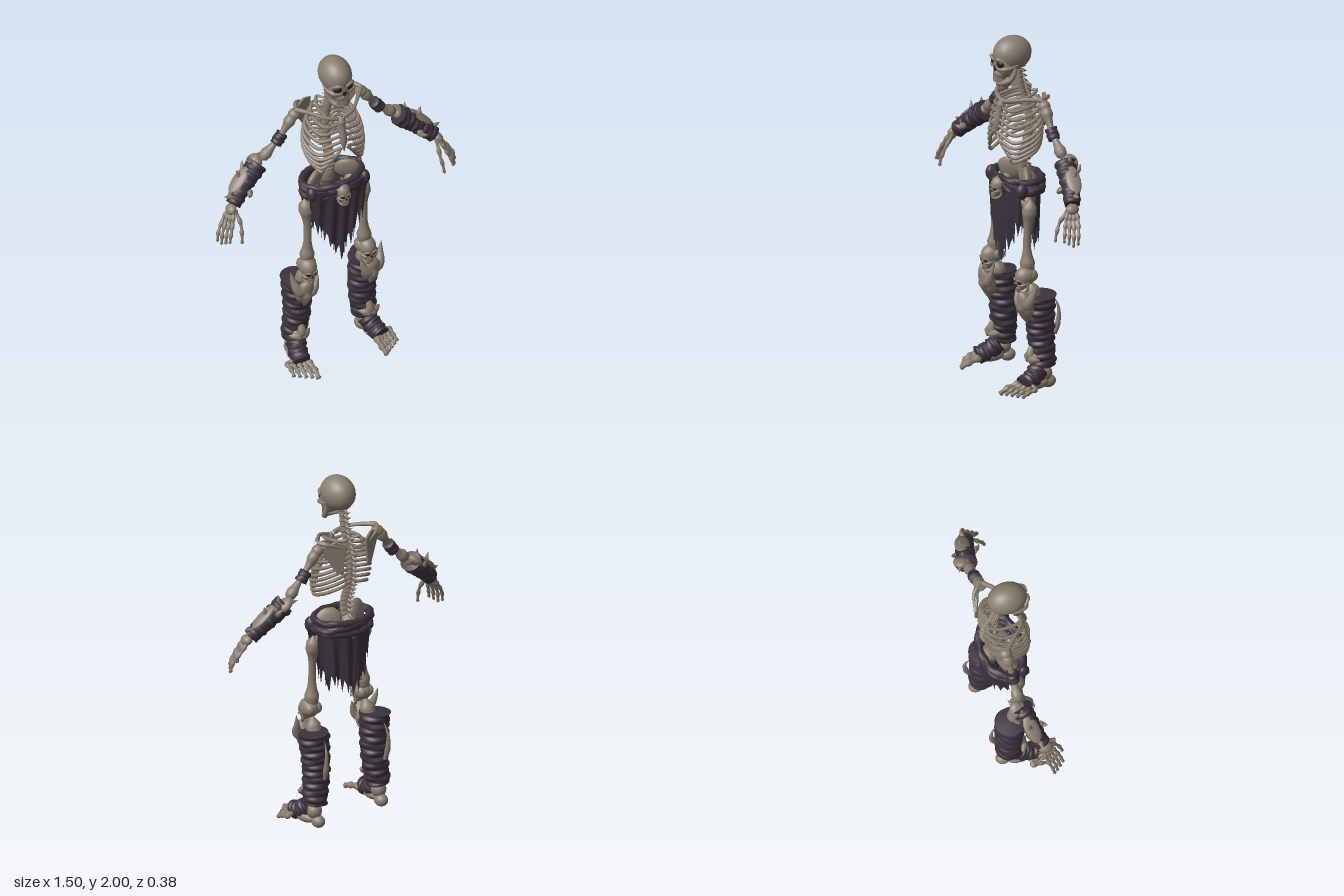
import * as THREE from 'three';
import { mergeVertices } from 'three/addons/utils/BufferGeometryUtils.js';

const mat = (name, color, side = THREE.FrontSide) => {
  const m = new THREE.MeshStandardMaterial({ color, side });
  m.name = name;
  return m;
};
const bone = mat('bone', 0x8a7e70);
const cloth = mat('dark cloth', 0x3b333c, THREE.DoubleSide);
const hollow = mat('hollow', 0x26211f);

let seed = 7;
const rand = () => (seed = (seed * 16807) % 2147483647) / 2147483647;
const V = (p) => new THREE.Vector3(...p);

function add(parent, name, geo, material, pos = [0, 0, 0], rot = [0, 0, 0], scale = [1, 1, 1]) {
  const m = new THREE.Mesh(geo, material);
  m.name = name;
  m.position.set(...pos);
  m.rotation.set(...rot);
  m.scale.set(...scale);
  parent.add(m);
  return m;
}
const blob = (parent, name, material, pos, radii, rot) =>
  add(parent, name, new THREE.SphereGeometry(1, 20, 14), material, pos, rot, radii);

// Tube along points whose radius follows a list or a function of (u, angle)
function sweep(parent, name, material, pts, radii, sides = 8, segs = 0) {
  const curve = new THREE.CatmullRomCurve3(pts.map(V));
  const list = Array.isArray(radii);
  segs = segs || (list ? (radii.length - 1) * Math.ceil(14 / (radii.length - 1)) : 30);
  const geo = new THREE.TubeGeometry(curve, segs, 1, sides);
  const p = geo.attributes.position, v = new THREE.Vector3();
  for (let i = 0; i < p.count; i++) {
    const u = Math.floor(i / (sides + 1)) / segs, c = curve.getPointAt(u);
    const f = list ? Math.min(u * (radii.length - 1), radii.length - 1.0001) : 0, k = Math.floor(f);
    const r = list ? radii[k] + (radii[k + 1] - radii[k]) * (f - k) : radii(u, (i % (sides + 1)) / sides);
    v.fromBufferAttribute(p, i).sub(c).multiplyScalar(Math.max(r, 0.0002)).add(c);
    p.setXYZ(i, v.x, v.y, v.z);
  }
  geo.deleteAttribute('uv');
  geo.deleteAttribute('normal');
  const merged = mergeVertices(geo, 1e-6);
  merged.computeVertexNormals();
  return add(parent, name, merged, material);
}
const horn = (parent, name, pts, r) => sweep(parent, name, bone, pts, [r * 0.7, r, r * 0.7, r * 0.4, 0], 7);
const LONG_BONE = [0, 1.4, 1.6, 1.1, 0.85, 0.8, 0.8, 0.85, 1.1, 1.6, 1.4, 0];
const longBone = (parent, name, pts, r) =>
  sweep(parent, name, bone, pts, LONG_BONE.map((k) => k * r), 12, 33);
// Finger or toe with swollen joints
const digit = (parent, name, pts, r, joints = 3) =>
  sweep(parent, name, bone, pts, (u) => (u === 0 || u === 1 ? 0
    : r * (1 - 0.3 * u) * (0.7 + 0.4 * Math.abs(Math.cos(joints * Math.PI * u)) ** 3)), 7, 24);
// Spiralling bandage
const bandage = (parent, name, pts, r0, r1, turns, segs = 60) =>
  sweep(parent, name, cloth, pts, (u, a) => (u === 0 || u === 1 ? 0 : (r0 + (r1 - r0) * u)
    * (0.93 + 0.09 * Math.abs(Math.sin(Math.PI * (turns * u + a)))
      + 0.05 * Math.sin(2 * Math.PI * (turns * 0.6 * u - 2 * a)))), 24, segs);

// Reflected copy across x = 0
function mirror(group, name) {
  group.updateMatrixWorld(true);
  const out = new THREE.Group();
  out.name = name;
  group.traverse((m) => {
    if (!m.isMesh) return;
    let g = m.geometry.clone().applyMatrix4(m.matrixWorld).scale(-1, 1, 1);
    if (!g.index) g = mergeVertices(g);
    const ix = g.index.array;
    for (let i = 0; i < ix.length; i += 3) [ix[i], ix[i + 1]] = [ix[i + 1], ix[i]];
    add(out, m.name, g, m.material);
  });
  return out;
}

function skull(name) {
  const s = new THREE.Group();
  s.name = name;
  blob(s, 'cranium', bone, [0, 0.032, -0.018], [0.088, 0.098, 0.112]);
  blob(s, 'face', bone, [0, -0.02, 0.035], [0.07, 0.078, 0.058]);
  blob(s, 'upperJaw', bone, [0, -0.068, 0.05], [0.043, 0.036, 0.046]);
  blob(s, 'noseHole', hollow, [0, -0.036, 0.087], [0.011, 0.02, 0.01]);
  for (const x of [-1, 1]) {
    blob(s, 'eyeSocket', hollow, [x * 0.036, -0.004, 0.076], [0.025, 0.022, 0.016], [0, x * 0.35, 0]);
    sweep(s, 'brow', bone, [[x * 0.006, 0.012, 0.096], [x * 0.035, 0.024, 0.091], [x * 0.068, 0.008, 0.062]],
      [0.006, 0.011, 0.006]);
    sweep(s, 'cheekbone', bone, [[x * 0.02, -0.036, 0.088], [x * 0.058, -0.032, 0.07], [x * 0.078, -0.022, 0.03],
      [x * 0.078, -0.015, -0.01]], [0.007, 0.013, 0.009, 0.005]);
    sweep(s, 'jawBranch', bone, [[x * 0.07, -0.025, 0.0], [x * 0.065, -0.07, 0.005], [x * 0.054, -0.103, 0.025],
      [x * 0.03, -0.122, 0.062], [0, -0.126, 0.074]], [0.006, 0.013, 0.015, 0.015, 0.015]);
  }
  // Two rows of teeth
  for (let i = -4; i <= 4; i++) for (const row of [0, 1]) {
    const a = i * 0.25;
    add(s, 'tooth', new THREE.BoxGeometry(0.0085, 0.014, 0.008), bone,
      [Math.sin(a) * 0.04, -0.09 - row * 0.015, 0.051 + Math.cos(a) * 0.04], [0, a, 0]);
  }
  return s;
}

function placeSkull(parent, name, pos, k, tilt = 0) {
  const s = skull(name);
  s.position.set(...pos);
  s.scale.setScalar(k);
  s.rotation.x = tilt;
  parent.add(s);
}

function buildSpine(g) {
  const curve = new THREE.CatmullRomCurve3([[0, 1.82, -0.055], [0, 1.7, -0.075], [0, 1.55, -0.125],
    [0, 1.4, -0.12], [0, 1.27, -0.08], [0, 1.15, -0.1]].map(V));
  for (let i = 0; i < 24; i++) {
    const u = i / 23, p = curve.getPointAt(u), r = 0.02 + 0.012 * u;
    add(g, 'vertebra', new THREE.CylinderGeometry(r, r, 0.019, 14), bone, p.toArray());
    horn(g, 'spinousProcess', [[0, p.y, p.z - r * 0.6], [0, p.y - 0.012, p.z - r - 0.03]], 0.012);
    sweep(g, 'transverseProcess', bone, [[-r - 0.022, p.y, p.z - 0.016], [r + 0.022, p.y, p.z - 0.016]],
      [0, 0.008, 0.008, 0]);
  }
  sweep(g, 'discs', bone, [0, 0.2, 0.4, 0.6, 0.8, 1].map((u) => curve.getPointAt(u).toArray()), [0.015, 0.024], 10);
}

// Half of the chest: ribs, cartilage, collarbone and shoulder blade
function buildChestSide() {
  const g = new THREE.Group();
  g.name = 'leftChest';
  const widths = [0.075, 0.115, 0.14, 0.155, 0.165, 0.17, 0.17, 0.167, 0.158, 0.145], margin = [[0.015, 1.465, 0.083]];
  widths.forEach((w, i) => {
    const y = 1.67 - i * 0.03, d = Math.min(0.03 + 0.012 * i, 0.09);
    const end = i < 6 ? [0.018, 1.63 - 0.033 * i, 0.04 + 0.009 * i]
      : [0.025 + 0.022 * (i - 5), 1.46 - 0.032 * (i - 5), 0.088 - 0.01 * (i - 6)];
    if (i > 5) margin.push(end);
    sweep(g, 'rib', bone, [[0.02, y, -0.125], [w * 0.55, y + 0.004, -0.148], [w * 0.95, y - d * 0.35, -0.095],
      [w, y - d * 0.7, -0.03], [w * 0.8, y - d, 0.035 + 0.002 * i], end], [0.007, 0.01, 0.01, 0.01, 0.009], 7, 24);
  });
  sweep(g, 'ribCartilage', bone, margin, [0.008, 0.01, 0.006]);
  sweep(g, 'collarbone', bone, [[0.015, 1.635, 0.045], [0.08, 1.655, 0.035], [0.15, 1.675, -0.03], [0.205, 1.68, -0.09]],
    [0.013, 0.011, 0.01, 0.012, 0.015]);
  const tri = new THREE.Shape([[0, 0.0], [0.06, 0.025], [0.14, 0.0], [0.12, -0.05], [0.045, -0.17], [0.02, -0.15]]
    .map((p) => new THREE.Vector2(...p)));
  add(g, 'shoulderBlade', new THREE.ExtrudeGeometry(tri, { depth: 0.008, bevelSize: 0.003, bevelThickness: 0.003,
    bevelSegments: 1 }), bone, [0.07, 1.66, -0.178], [0, -0.42, 0]);
  horn(g, 'bladeRidge', [[0.205, 1.685, -0.09], [0.17, 1.68, -0.145], [0.08, 1.64, -0.182]], 0.014);
  return g;
}

function buildArm() {
  const g = new THREE.Group();
  g.name = 'leftArm';
  blob(g, 'shoulderJoint', bone, [0.208, 1.645, -0.1], [0.034, 0.032, 0.034]);
  longBone(g, 'upperArm', [[0.205, 1.655, -0.1], [0.31, 1.52, -0.095], [0.425, 1.405, -0.1]], 0.021);
  bandage(g, 'armBand', [[0.283, 1.545, -0.096], [0.328, 1.488, -0.096]], 0.034, 0.034, 3, 20);
  longBone(g, 'forearm', [[0.41, 1.425, -0.11], [0.63, 1.225, -0.04]], 0.019);
  longBone(g, 'forearm', [[0.43, 1.39, -0.09], [0.64, 1.23, -0.02]], 0.015);
  bandage(g, 'bracer', [[0.435, 1.395, -0.1], [0.54, 1.31, -0.07], [0.63, 1.225, -0.035]], 0.06, 0.044, 8);
  // Bone guard with spikes
  blob(g, 'bracerPlate', bone, [0.568, 1.342, -0.075], [0.09, 0.018, 0.042], [0, -0.25, -0.72]);
  blob(g, 'elbowPlate', bone, [0.455, 1.40, -0.125], [0.05, 0.026, 0.04], [0, 0, -0.72]);
  [[[0.45, 1.385, -0.1], [0.478, 1.41, -0.1], [0.485, 1.46, -0.105]],
    [[0.54, 1.33, -0.08], [0.56, 1.36, -0.085], [0.575, 1.41, -0.09]],
    [[0.61, 1.26, -0.05], [0.64, 1.275, -0.05], [0.675, 1.285, -0.05]],
    [[0.46, 1.39, -0.12], [0.42, 1.41, -0.14], [0.39, 1.42, -0.155]],
    [[0.5, 1.35, -0.11], [0.51, 1.37, -0.14], [0.5, 1.4, -0.16]],
    [[0.53, 1.29, -0.03], [0.54, 1.28, 0.0], [0.56, 1.29, 0.02]]].forEach((p) => horn(g, 'bracerSpike', p, 0.02));
  blob(g, 'wrist', bone, [0.645, 1.21, -0.025], [0.032, 0.025, 0.038], [0, 0, -0.8]);
  for (let j = 0; j < 4; j++) {
    const q = 0.014 * j, z = 0.021 * j;
    digit(g, 'finger', [[0.64, 1.215, -0.045 + 0.014 * j], [0.69 - q * 0.6, 1.15, -0.035 + z],
      [0.73 - q, 1.09, -0.015 + z], [0.742 - q, 1.02 + 0.012 * Math.abs(j - 1), -0.005 + z]], 0.014, 4);
  }
  digit(g, 'thumb', [[0.63, 1.21, -0.01], [0.622, 1.14, 0.04], [0.628, 1.08, 0.065], [0.632, 1.03, 0.075]], 0.014);
  return g;
}

function buildLeg() {
  const g = new THREE.Group();
  g.name = 'leftLeg';
  blob(g, 'hipWing', bone, [0.1, 1.185, -0.06], [0.075, 0.068, 0.026], [0.25, -0.5, -0.2]);
  sweep(g, 'pubicBone', bone, [[0.11, 1.13, -0.05], [0.06, 1.09, 0.01], [0, 1.08, 0.02]], [0.03, 0.02, 0.018]);
  sweep(g, 'sitBone', bone, [[0.1, 1.12, -0.07], [0.085, 1.03, -0.07], [0.03, 1.06, 0.0]], [0.03, 0.024, 0.014]);
  sweep(g, 'hipNeck', bone, [[0.1, 1.11, -0.045], [0.175, 1.065, -0.03]], [0.03, 0.03, 0.02, 0.024]);
  longBone(g, 'thighBone', [[0.182, 1.105, -0.03], [0.175, 0.9, -0.012], [0.18, 0.655, -0.012]], 0.026);
  for (const x of [-1, 1]) blob(g, 'kneeJoint', bone, [0.18 + x * 0.024, 0.665, -0.018], [0.03, 0.036, 0.042]);
  longBone(g, 'shinBone', [[0.185, 0.63, -0.025], [0.2, 0.35, -0.08], [0.225, 0.08, -0.095]], 0.028);
  bandage(g, 'shinWrap', [[0.213, 0.555, -0.07], [0.203, 0.32, -0.08], [0.222, 0.13, -0.09]], 0.086, 0.068, 11, 90);
  placeSkull(g, 'kneeSkull', [0.185, 0.645, 0.012], 0.56, 0.1);
  // Horned shin guard
  blob(g, 'shinPlate', bone, [0.205, 0.5, 0.015], [0.055, 0.09, 0.04], [0.35, 0, 0]);
  horn(g, 'shinHorn', [[0.21, 0.48, 0.02], [0.255, 0.535, 0.02], [0.272, 0.59, 0.0], [0.285, 0.65, -0.01]], 0.034);
  horn(g, 'shinHorn', [[0.2, 0.48, 0.03], [0.16, 0.525, 0.035], [0.13, 0.605, 0.025]], 0.032);
  horn(g, 'shinPoint', [[0.205, 0.53, 0.045], [0.205, 0.46, 0.03], [0.205, 0.385, 0.0]], 0.034);
  horn(g, 'calfBlade', [[0.21, 0.3, -0.165], [0.215, 0.36, -0.18], [0.215, 0.45, -0.185], [0.205, 0.53, -0.155]], 0.016);
  // Ankle guard
  blob(g, 'anklePlate', bone, [0.215, 0.19, -0.025], [0.045, 0.04, 0.025], [-0.3, 0, 0]);
  for (const [x, y] of [[0.15, 0.2], [0.285, 0.195], [0.21, 0.285]])
    horn(g, 'ankleSpike', [[0.215, 0.18, -0.015], [0.215 + (x - 0.215) * 0.5, 0.185 + (y - 0.185) * 0.4, -0.012],
      [x, y, -0.03]], 0.03);
  // Foot
  blob(g, 'ankle', bone, [0.225, 0.09, -0.09], [0.042, 0.045, 0.045]);
  blob(g, 'heel', bone, [0.22, 0.036, -0.118], [0.036, 0.036, 0.044]);
  blob(g, 'instep', bone, [0.235, 0.045, -0.03], [0.045, 0.034, 0.08]);
  bandage(g, 'footWrap', [[0.22, 0.12, -0.06], [0.235, 0.078, -0.01], [0.248, 0.052, 0.06]], 0.056, 0.05, 5, 40);
  for (let k = 0; k < 5; k++) {
    const x = 0.21 + 0.027 * k, z = 0.185 - 0.02 * k;
    digit(g, 'toe', [[0.222 + 0.014 * k, 0.06, 0.02], [x, 0.045, z - 0.085], [x, 0.035, z - 0.045], [x + 0.004, 0.014, z]],
      k ? 0.017 : 0.023);
  }
  return g;
}

// Ragged hanging cloth, curved across x, with a torn hem
function clothPanel(parent, name, z0, bend, drift, top, low, edge, taper) {
  const cols = 44, rows = 14, geo = new THREE.PlaneGeometry(2, 1, cols, rows), p = geo.attributes.position;
  const hem = Array.from({ length: cols + 1 }, (_, i) => {
    const t = Math.abs(i / cols * 2 - 1);
    return low + (edge - low) * t + (i % 3 ? 0.035 + 0.07 * rand() : 0.02 * rand());
  });
  for (let i = 0; i < p.count; i++) {
    const c = i % (cols + 1), v = Math.floor(i / (cols + 1)) / rows, t = c / cols * 2 - 1;
    p.setXYZ(i, 0.185 * t * (1 - taper * v), top - v * (top - hem[c]),
      z0 + bend * t * t + drift * v + 0.012 * Math.sqrt(v) * Math.sin(t * 15 + v * 1.5));
  }
  geo.computeVertexNormals();
  add(parent, name, geo, cloth);
}

function buildWaist(g) {
  sweep(g, 'sacrum', bone, [[0, 1.2, -0.09], [0, 1.1, -0.13], [0, 1.03, -0.11]], [0.03, 0.05, 0.035, 0.012], 12);
  [[1.185, 0.01, 0.018], [1.155, -0.015, 0.022], [1.122, 0.012, 0.018]].forEach(([y, tilt, r]) => {
    const ring = Array.from({ length: 25 }, (_, i) => {
      const a = i / 24 * Math.PI * 2;
      return [0.175 * Math.sin(a), y + tilt * Math.sin(a + 0.5), -0.055 + 0.113 * Math.cos(a)];
    });
    sweep(g, 'beltRoll', cloth, ring, (u, a) => r * (1 + 0.15 * Math.sin(2 * Math.PI * (9 * u + 2 * a))), 10, 72);
  });
  clothPanel(g, 'frontCloth', 0.07, -0.04, -0.015, 1.17, 0.65, 0.9, 0.15);
  clothPanel(g, 'backCloth', -0.172, 0.1, 0.02, 1.19, 0.7, 0.87, 0.08);
  for (const x of [-1, 1]) blob(g, 'beltKnot', cloth, [x * 0.165, 1.15, 0.015], [0.03, 0.045, 0.035]);
  placeSkull(g, 'beltSkull', [0, 1.135, 0.065], 0.48);
}

export function createModel() {
  const model = new THREE.Group();
  model.name = 'skeletonWarrior';
  placeSkull(model, 'head', [0, 1.87, 0], 1);
  const torso = new THREE.Group();
  torso.name = 'torso';
  model.add(torso);
  buildSpine(torso);
  sweep(torso, 'breastbone', bone, [[0, 1.65, 0.04], [0, 1.55, 0.066], [0, 1.43, 0.086]],
    [0, 0.026, 0.018, 0.02, 0.022, 0.02, 0.01, 0], 10);
  buildWaist(torso);
  for (const [build, right] of [[buildChestSide, 'rightChest'], [buildArm, 'rightArm'], [buildLeg, 'rightLeg']]) {
    const left = build();
    model.add(left, mirror(left, right));
  }
  return model;
}
